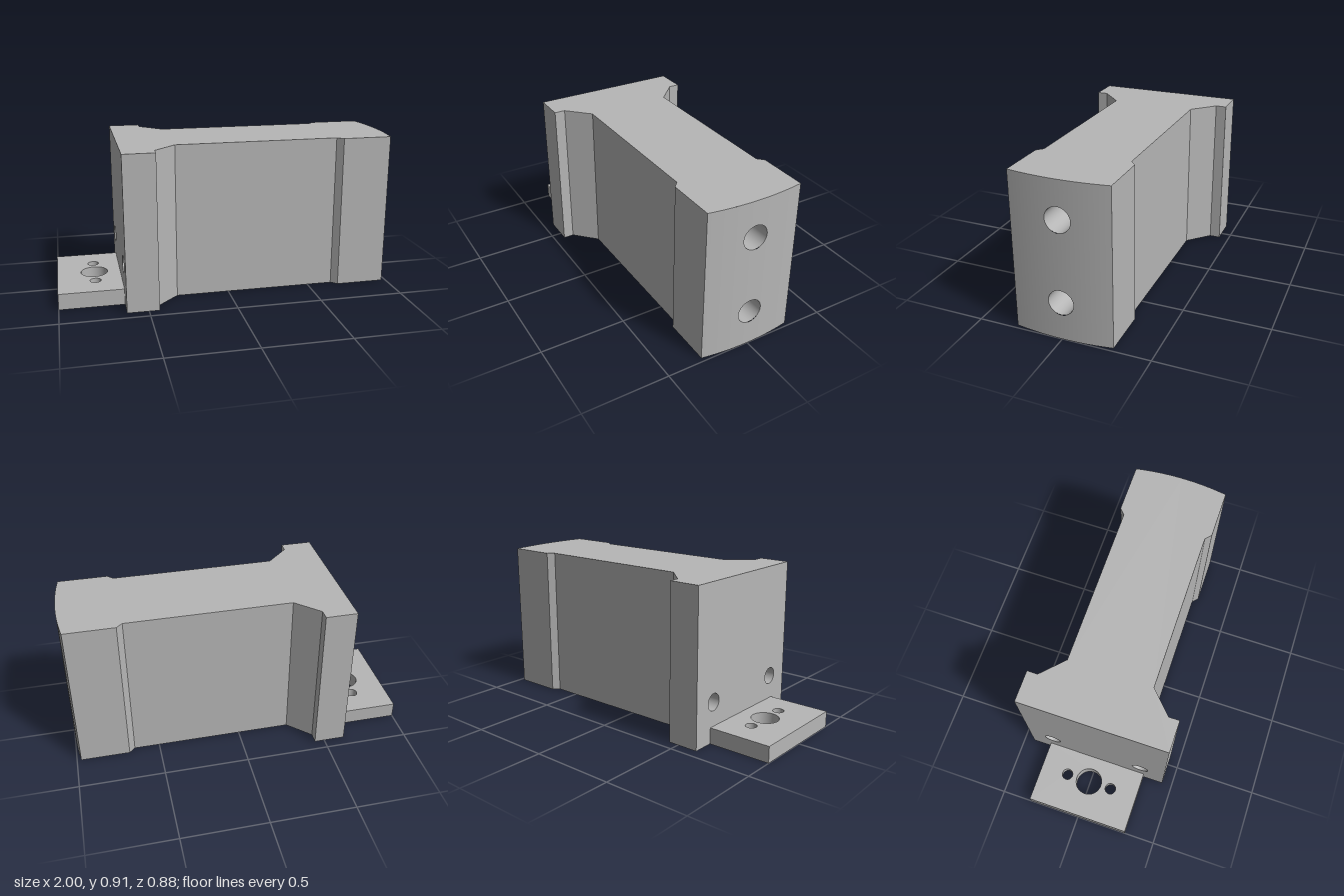
import * as THREE from 'three';
import { mergeGeometries } from 'three/addons/utils/BufferGeometryUtils.js';

const HEIGHT = 0.91, PLATE_H = 0.095, LEFT = -0.625, HALF_END = 0.2825;
const HOLE_R = 0.072, HOLE_Y = [0.22, 0.692];
const R = (HALF_END ** 2 + 0.025 ** 2) / 0.05; // radius of the bowed end
const endX = z => 1 - R + Math.sqrt(R * R - z * z);

// Flat sheet facing +z, with round holes given as [x, y, radius]
function sheet(points, holes = []) {
  const shape = new THREE.Shape(points.map(([x, y]) => new THREE.Vector2(x, y)));
  for (const [x, y, r] of holes) {
    shape.holes.push(new THREE.Path().absarc(x, y, r, 0, Math.PI * 2, true));
  }
  return new THREE.ShapeGeometry(shape, 24);
}

// Upright walls along a path of [x, z] points
function walls(path, height) {
  const pos = [];
  for (let i = 0; i < path.length - 1; i++) {
    const [ax, az] = path[i], [bx, bz] = path[i + 1];
    pos.push(ax, 0, az, bx, 0, bz, bx, height, bz, ax, 0, az, bx, height, bz, ax, height, az);
  }
  const g = new THREE.BufferGeometry();
  g.setAttribute('position', new THREE.Float32BufferAttribute(pos, 3));
  g.computeVertexNormals();
  return g;
}

// Inside of a turned hole; the profile runs downwards, each step with a crisp edge
function bore(profile) {
  const p = profile.map(([r, y]) => new THREE.Vector2(r, y));
  return mergeGeometries(p.slice(1).map((q, i) => new THREE.LatheGeometry([p[i], q], 48)));
}

const blindHole = (r, depth) => bore([[r, 0], [r, -depth], [0, -depth]]);

// Bowed end face: two plain strips and a drilled middle strip, bent to the arc
function bowedFace() {
  const mid = 0.1, w = HALF_END - mid;
  const strips = [-1, 1].map(s =>
    new THREE.PlaneGeometry(w, HEIGHT, 6, 1).translate(s * (mid + w / 2), HEIGHT / 2, 0));
  const us = [-0.1, -0.05, 0, 0.05, 0.1];
  const outline = [...us.map(u => [u, 0]), ...us.map(u => [-u, HEIGHT])];
  strips.push(sheet(outline, HOLE_Y.map(y => [0, y, HOLE_R])));
  const g = mergeGeometries(strips);
  const p = g.attributes.position, n = g.attributes.normal;
  for (let i = 0; i < p.count; i++) {
    const u = p.getX(i), x = endX(u);
    p.setXYZ(i, x, p.getY(i), -u);
    n.setXYZ(i, (x - 1 + R) / R, 0, -u / R);
  }
  return g;
}

export function createModel() {
  const group = new THREE.Group();
  const grey = new THREE.MeshStandardMaterial({ color: 0xb6b6b6 });
  grey.name = 'grey';
  const add = (name, geometry) => {
    const mesh = new THREE.Mesh(geometry, grey);
    mesh.name = name;
    group.add(mesh);
    return mesh;
  };

  // Body footprint: flange, gusset, waist, head
  const front = [[LEFT, 0.4375], [-0.44, 0.4375], [-0.44, 0.375], [-0.31, 0.25],
    [0.65, 0.25], [0.685, HALF_END], [endX(HALF_END), HALF_END]];
  const back = front.map(([x, z]) => [x, -z]).reverse();
  const arc = [];
  for (let i = 1; i < 20; i++) {
    const z = HALF_END * (1 - i / 10);
    arc.push([endX(z), z]);
  }
  const footprint = [...front, ...arc, ...back];
  add('bodyTop', sheet(footprint).rotateX(-Math.PI / 2).translate(0, HEIGHT, 0));
  add('bodyBottom', sheet(footprint).rotateX(Math.PI / 2));
  add('bodyFrontWalls', walls(front, HEIGHT));
  add('bodyBackWalls', walls(back, HEIGHT));
  add('bowedEnd', bowedFace());

  // Drilled flange face
  const flangeHoles = [-0.285, 0.285].map(z => [z, 0.237, 0.05]);
  add('flangeFace', sheet([[-0.4375, 0], [0.4375, 0], [0.4375, HEIGHT], [-0.4375, HEIGHT]], flangeHoles)
    .rotateY(-Math.PI / 2).translate(LEFT, 0, 0));
  for (const [z, y, r] of flangeHoles) {
    add('flangeHole', blindHole(r, 0.15).rotateZ(Math.PI / 2).translate(LEFT, y, z));
  }
  for (const y of HOLE_Y) {
    add('endHole', blindHole(HOLE_R, 0.3).rotateZ(-Math.PI / 2).translate(0.9992, y, 0));
  }

  // Base plate with a large bore and two counterbored screw holes
  const hx = -0.78, hz = 0.143, pz = 0.3125;
  const plate = [[LEFT, -pz], [-1, -pz], [-1, pz], [LEFT, pz]];
  const holes = r => [[hx, 0, 0.08], [hx, hz, r], [hx, -hz, r]];
  add('plateTop', sheet(plate, holes(0.033)).rotateX(-Math.PI / 2).translate(0, PLATE_H, 0));
  add('plateBottom', sheet(plate, holes(0.052)).rotateX(Math.PI / 2));
  add('plateWalls', walls(plate, PLATE_H));
  add('plateBore', bore([[0.08, PLATE_H], [0.08, 0]]).translate(hx, 0, 0));
  for (const s of [-1, 1]) {
    add('screwHole', bore([[0.033, PLATE_H], [0.033, 0.04], [0.052, 0.04], [0.052, 0]])
      .translate(hx, 0, s * hz));
  }
  return group;
}
